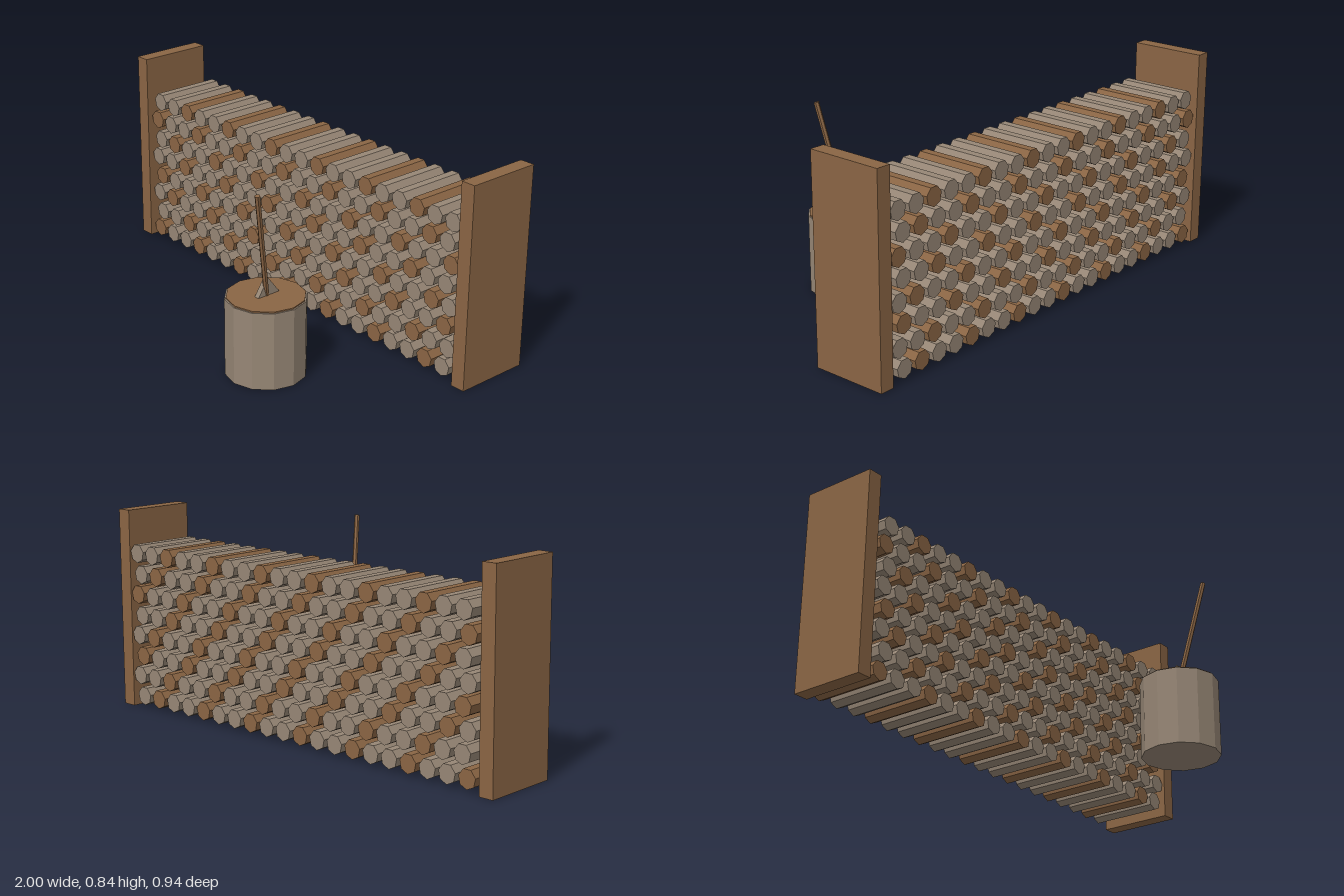
import * as THREE from 'three';

export function createModel() {
  const model = new THREE.Group();
  model.name = 'firewoodStack';

  const wood = new THREE.MeshStandardMaterial({ color: 0x8a6544, flatShading: true });
  wood.name = 'brown wood';
  const bark = new THREE.MeshStandardMaterial({ color: 0x968675, flatShading: true });
  bark.name = 'grey bark';

  const add = (name, geometry, material, x, y, z, parent = model) => {
    const mesh = new THREE.Mesh(geometry, material);
    mesh.name = name;
    mesh.position.set(x, y, z);
    parent.add(mesh);
    return mesh;
  };

  // End boards of the rack
  const rackZ = -0.307;
  const board = new THREE.BoxGeometry(0.062, 0.84, 0.322);
  add('leftEndBoard', board, wood, 0.969, 0.42, rackZ);
  add('rightEndBoard', board, wood, -0.969, 0.42, rackZ);

  // Stacked logs: staggered rows, every third log brown
  const logs = new THREE.Group();
  logs.name = 'logs';
  model.add(logs);
  const log = new THREE.CylinderGeometry(0.04, 0.04, 0.308, 7).rotateX(Math.PI / 2);
  for (let row = 0; row < 8; row++) {
    for (let col = 0; col < 20; col++) {
      const x = -0.88 + col * 0.0923 + (row % 2) * 0.023;
      const material = (row + col) % 3 === 0 ? wood : bark;
      add('log', log, material, x, 0.052 + row * 0.087, rackZ - 0.003, logs);
    }
  }

  // Chopping block with a cut top
  const blockX = 0.385, blockZ = 0.307;
  add('choppingBlock', new THREE.CylinderGeometry(0.161, 0.161, 0.322, 12), bark, blockX, 0.161, blockZ);
  add('blockTop', new THREE.CylinderGeometry(0.155, 0.155, 0.008, 12), wood, blockX, 0.323, blockZ);

  // Axe head: a thin triangular wedge standing on the block
  const wedge = new THREE.Shape([[-0.357, 0.322], [-0.246, 0.322], [-0.306, 0.4]]
    .map(([u, y]) => new THREE.Vector2(u, y)));
  const head = new THREE.ExtrudeGeometry(wedge, { depth: 0.022, bevelEnabled: false });
  head.translate(0, 0, -0.011).rotateY(Math.PI / 2);
  add('axeHead', head, bark, blockX, 0, 0);

  // Axe handle leaning forward and to the left
  const from = new THREE.Vector3(0.389, 0.328, 0.308);
  const to = new THREE.Vector3(0.447, 0.776, 0.403);
  const axis = to.clone().sub(from);
  const mid = from.clone().add(to).multiplyScalar(0.5);
  const handle = add('axeHandle', new THREE.CylinderGeometry(0.011, 0.011, axis.length(), 6),
    wood, mid.x, mid.y, mid.z);
  handle.quaternion.setFromUnitVectors(new THREE.Vector3(0, 1, 0), axis.normalize());

  return model;
}
